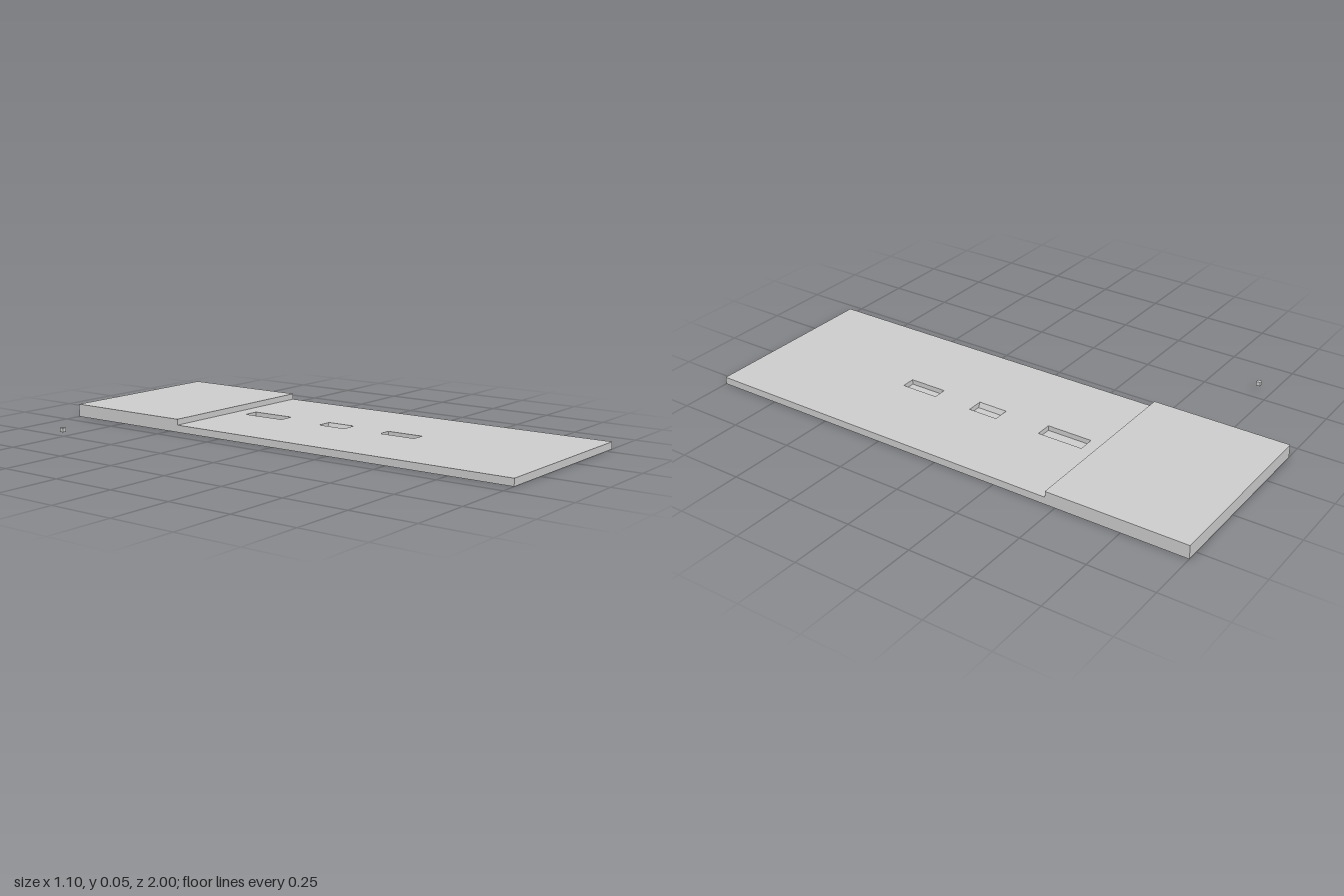
import * as THREE from 'three';

const X0 = -0.18, X1 = 0.545;          // slab sides
const DECK = 0.028, STEP = 0.051;      // low and raised heights
const STEP_Z = -0.46, FLOOR = 0.009;   // step line, pocket floor height

// Pockets: x from, x to, z from, z to
const POCKETS = [
  [0.153, 0.217, -0.395, -0.215],
  [0.153, 0.217, -0.03, 0.088],
  [0.158, 0.212, 0.25, 0.4],
];

export function createModel() {
  const group = new THREE.Group();
  const material = new THREE.MeshStandardMaterial({ color: 0xcccccc, flatShading: true });

  const add = (name, geometry) => {
    const mesh = new THREE.Mesh(geometry, material);
    mesh.name = name;
    group.add(mesh);
    return mesh;
  };
  const block = (name, x0, x1, y0, y1, z0, z1) =>
    add(name, new THREE.BoxGeometry(x1 - x0, y1 - y0, z1 - z0))
      .position.set((x0 + x1) / 2, (y0 + y1) / 2, (z0 + z1) / 2);
  const rectangle = (Type, x0, x1, z0, z1) => new Type([
    new THREE.Vector2(x0, -z1), new THREE.Vector2(x1, -z1),
    new THREE.Vector2(x1, -z0), new THREE.Vector2(x0, -z0),
  ]);

  // Low deck with three rectangular pockets
  const deck = rectangle(THREE.Shape, X0, X1, STEP_Z, 1);
  deck.holes = POCKETS.map((p) => rectangle(THREE.Path, ...p));
  const deckGeometry = new THREE.ExtrudeGeometry(deck, { depth: DECK, bevelEnabled: false });
  add('deck', deckGeometry.rotateX(-Math.PI / 2));

  // Solid floors closing the pockets underneath
  for (const [x0, x1, z0, z1] of POCKETS) block('pocketFloor', x0, x1, 0, FLOOR, z0, z1);

  // Slanted side walls of the middle pocket
  const [mx0, mx1, mz0, mz1] = POCKETS[1];
  for (const [x, side] of [[mx0, 1], [mx1, -1]]) {
    const wedge = new THREE.Shape([
      new THREE.Vector2(x, FLOOR),
      new THREE.Vector2(x + side * 0.009, FLOOR),
      new THREE.Vector2(x, DECK),
    ]);
    add('slantedWall', new THREE.ExtrudeGeometry(wedge, { depth: mz1 - mz0, bevelEnabled: false }))
      .position.z = mz0;
  }

  // Raised rear platform
  block('raisedPlatform', X0, X1, 0, STEP, -1, STEP_Z);

  // Small separate cube beside the slab
  block('smallCube', -0.552, -0.536, 0.03, 0.046, -0.713, -0.697);

  return group;
}
